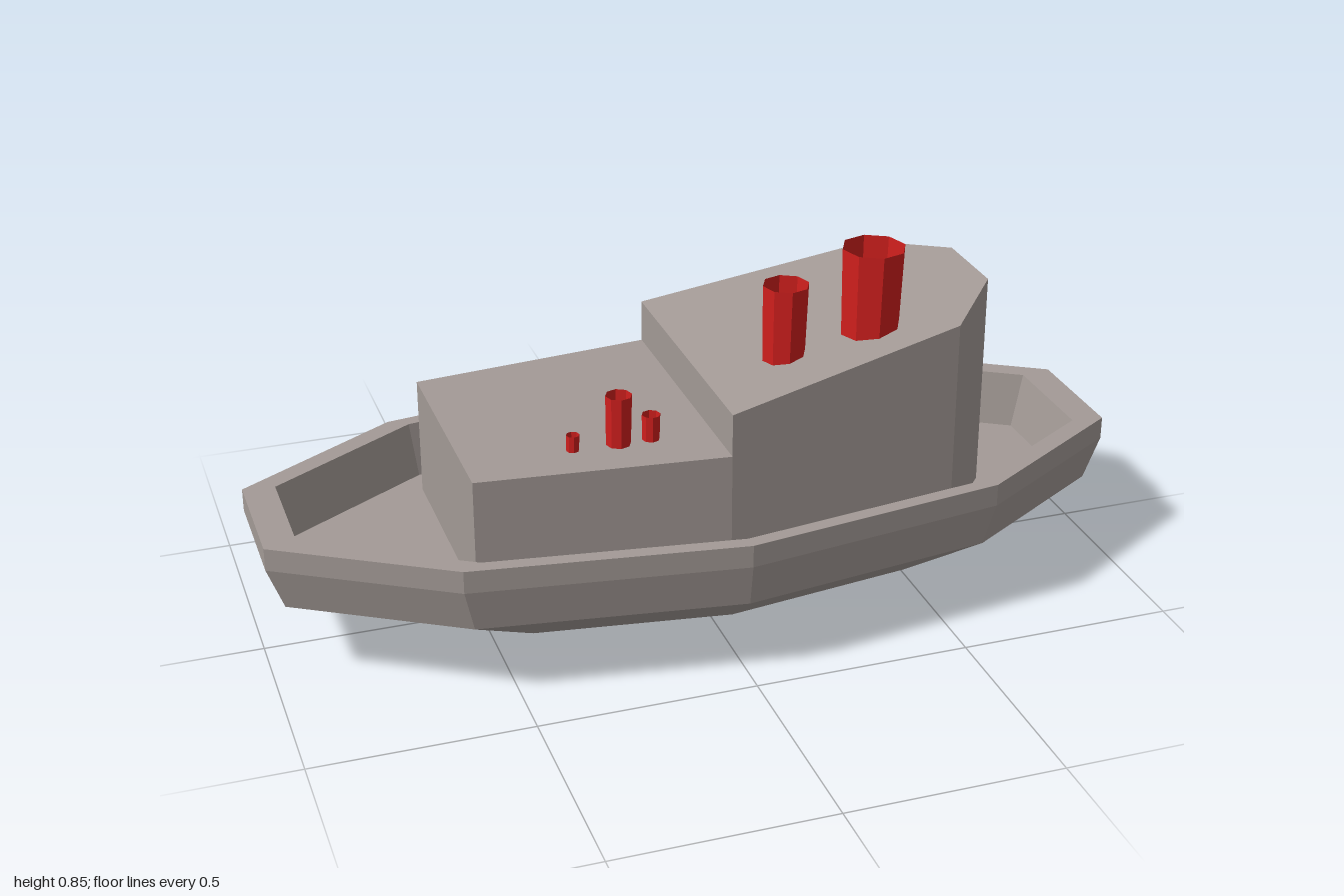
import * as THREE from 'three';

const paint = new THREE.MeshStandardMaterial({ color: 0xa39a96, flatShading: true });
const red = new THREE.MeshStandardMaterial({ color: 0xcf1f1d, flatShading: true, side: THREE.DoubleSide });

const DECK = 0.2;

function addMesh(group, name, geometry, material) {
  const mesh = new THREE.Mesh(geometry, material);
  mesh.name = name;
  group.add(mesh);
  return mesh;
}

// Upright prism on the deck; each footprint corner is [x, half width], mirrored across z.
function cabinGeometry(corners, roof) {
  const outline = [
    ...corners.map(([x, z]) => new THREE.Vector2(x, z)),
    ...corners.slice().reverse().map(([x, z]) => new THREE.Vector2(x, -z)),
  ];
  const geometry = new THREE.ExtrudeGeometry(new THREE.Shape(outline), { depth: 1, bevelEnabled: false });
  geometry.rotateX(-Math.PI / 2);
  const p = geometry.attributes.position;
  for (let i = 0; i < p.count; i++) p.setY(i, p.getY(i) > 0.5 ? roof(p.getX(i)) : DECK);
  geometry.computeVertexNormals();
  return geometry;
}

export function createModel() {
  const ship = new THREE.Group();
  ship.name = 'ship';

  const foreRoof = (x) => 0.58 + 0.192 * x;
  const aftRoof = () => 0.48;

  // Ten-sided hull: outer skin, flat rim, inner bulwark and deck in one profile
  const profile = [
    [0, 0], [0.255, 0], [0.503, 0.034], [0.718, 0.088], [0.963, 0.18], [1, 0.28],
    [1, 0.333], [0.927, 0.333], [0.9, DECK], [0, DECK],
  ].map(([r, y]) => new THREE.Vector2(r, y));
  const hull = new THREE.LatheGeometry(profile, 10).toNonIndexed();
  hull.scale(1 / Math.cos(Math.PI / 10), 1, 0.465);
  hull.computeVertexNormals();
  addMesh(ship, 'hull', hull, paint);

  // Low aft cabin and tall fore cabin with a rising roof
  addMesh(ship, 'aftCabin', cabinGeometry([[-0.565, 0.265], [0, 0.325]], aftRoof), paint);
  addMesh(ship, 'foreCabin', cabinGeometry([[0, 0.325], [0.556, 0.265], [0.699, 0.1]], foreRoof), paint);

  // Open eight-sided funnels, slightly flared and leaning: [x, z, radius, top]
  const funnels = [
    [0.394, 0.139, 0.073, 0.848],
    [0.187, 0.139, 0.053, 0.786],
    [-0.215, 0.185, 0.03, 0.598],
    [-0.141, 0.185, 0.021, 0.54],
    [-0.32, 0.185, 0.015, 0.518],
  ];
  funnels.forEach(([x, z, radius, top], i) => {
    const base = (x > 0 ? foreRoof(x) : aftRoof()) - 0.03;
    const geometry = new THREE.CylinderGeometry(radius, radius * 0.92, top - base, 8, 1, true);
    const funnel = addMesh(ship, `funnel${i + 1}`, geometry, red);
    funnel.position.set(x, (top + base) / 2, z);
    funnel.rotation.set(0, -0.08, -0.015);
  });

  return ship;
}
